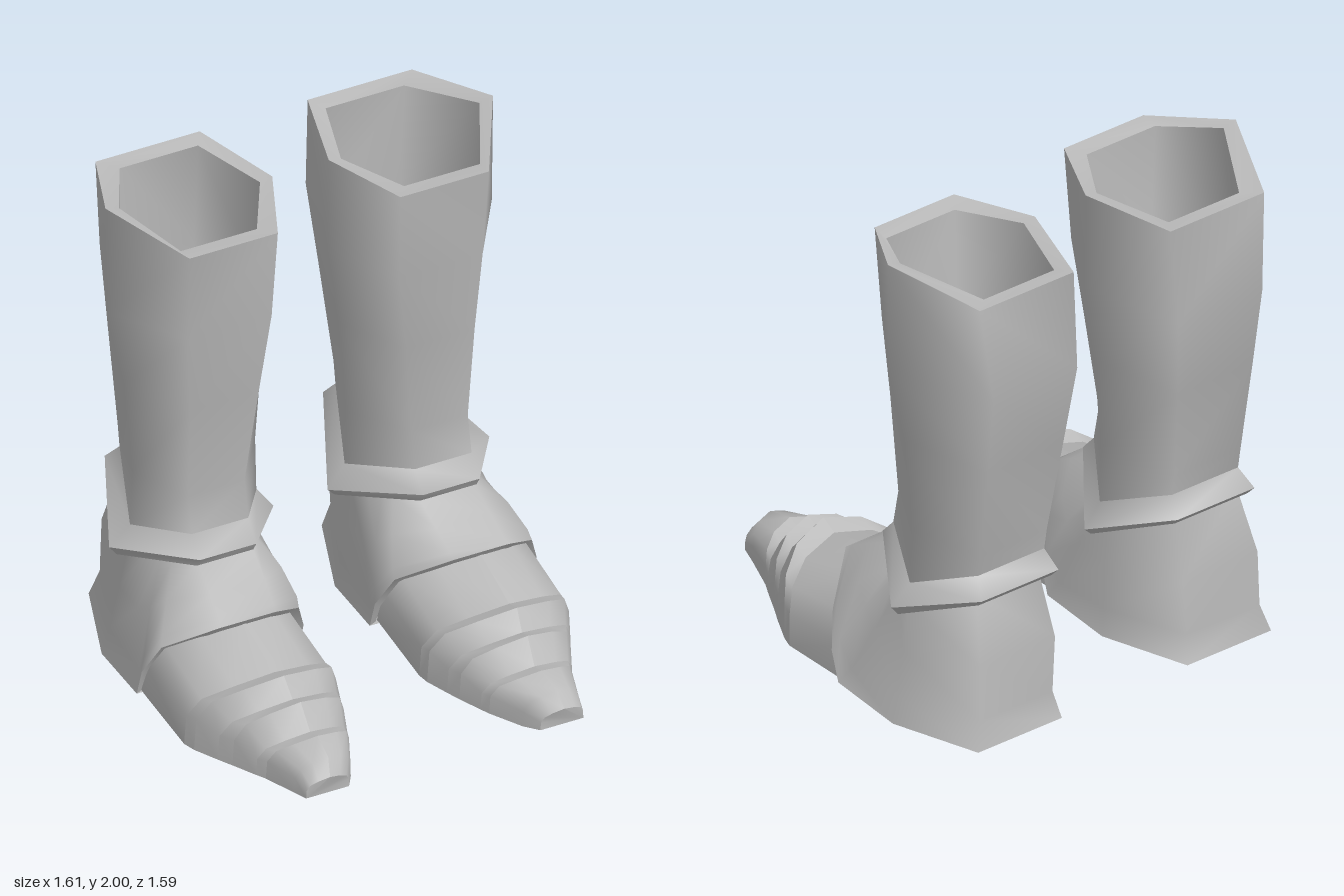
import * as THREE from 'three';
import { mergeGeometries } from 'three/addons/utils/BufferGeometryUtils.js';

const steel = new THREE.MeshStandardMaterial({ color: 0xbcbcbc, side: THREE.DoubleSide });
steel.name = 'grey steel';

// Skin a list of equally long rings; smooth inside one loft, sharp between lofts
function loft(rings, closed) {
  const n = rings[0].length, index = [];
  for (let r = 0; r < rings.length - 1; r++) {
    for (let i = 0; i < (closed ? n : n - 1); i++) {
      const a = r * n + i, b = r * n + (i + 1) % n;
      index.push(a, b, a + n, b, b + n, a + n);
    }
  }
  const geo = new THREE.BufferGeometry();
  geo.setAttribute('position', new THREE.Float32BufferAttribute(rings.flat(2), 3));
  geo.setIndex(index);
  geo.computeVertexNormals();
  return geo;
}

// Flat fan over a convex outline
function fan(points) {
  const geo = new THREE.BufferGeometry(), index = [];
  geo.setAttribute('position', new THREE.Float32BufferAttribute(points.flat(), 3));
  for (let i = 1; i < points.length - 1; i++) index.push(0, i, i + 1);
  geo.setIndex(index);
  geo.computeVertexNormals();
  return geo;
}

// Six-sided leg section: front height, front/back z, inner/outer x, corner x pairs, height offsets
function hex(y, f, b, xi, xo, [fi, fo], [bi, bo], dyOut = 0, dyIn = 0, dyBack = 0) {
  return [[bi, y + dyBack, b], [bo, y + dyBack, b], [xo, y + dyOut, -0.39],
    [fo, y, f], [fi, y, f], [xi, y + dyIn, -0.38]];
}

// Full row of points from one half, mirrored about x = cx
function bothSides(cx, half) {
  return [...half.map(([x, y, z]) => [cx + x, y, z]),
    ...half.map(([x, y, z]) => [cx - x, y, z]).reverse()];
}

function createBoot() {
  const boot = new THREE.Group();
  const add = (name, ...geos) => {
    const mesh = new THREE.Mesh(geos.length > 1 ? mergeGeometries(geos) : geos[0], steel);
    mesh.name = name;
    boot.add(mesh);
  };

  // Shaft, rim and hollow inside
  const top = hex(1.92, -0.07, -0.755, 0.115, 0.79, [0.25, 0.61], [0.22, 0.645], 0.08, 0.015, 0.015);
  const cuffTop = hex(0.65, -0.13, -0.67, 0.18, 0.69, [0.34, 0.57], [0.29, 0.59], -0.08, -0.08, 0.06);
  add('shaft', loft([top,
    hex(1.54, -0.1, -0.79, 0.11, 0.785, [0.26, 0.6], [0.23, 0.61]),
    hex(1.2, -0.125, -0.745, 0.155, 0.715, [0.3, 0.58], [0.26, 0.6]),
    hex(0.8, -0.16, -0.685, 0.185, 0.68, [0.34, 0.57], [0.29, 0.59]),
    cuffTop], true));
  const rimInner = hex(1.91, -0.14, -0.69, 0.165, 0.735, [0.3, 0.61], [0.26, 0.58], 0.075, 0.015, 0.015);
  add('rim', loft([top, rimInner], true));
  add('shaftInside', loft([rimInner,
    hex(1.5, -0.16, -0.7, 0.17, 0.72, [0.3, 0.58], [0.27, 0.57]),
    hex(0.9, -0.21, -0.64, 0.23, 0.64, [0.36, 0.55], [0.32, 0.56]),
    Array(6).fill([0.45, 0.65, -0.4])], true));

  // Flared ankle cuff
  const flare = hex(0.575, -0.065, -0.73, 0.11, 0.775, [0.34, 0.57], [0.27, 0.62], -0.08, -0.1, 0.065);
  const lower = hex(0.535, -0.09, -0.7, 0.14, 0.745, [0.34, 0.57], [0.28, 0.61], -0.08, -0.09, 0.07);
  const under = hex(0.55, -0.14, -0.65, 0.21, 0.68, [0.35, 0.56], [0.31, 0.58], -0.06, -0.06, 0.07);
  add('ankleCuff', loft([cuffTop, flare], true), loft([flare, lower], true), loft([lower, under], true));

  // Heel and instep: half rows run from the back round to the front
  const heelRows = [
    bothSides(0.45, [[0.14, 0.62, -0.66], [0.245, 0.48, -0.39], [0.22, 0.49, -0.3],
      [0.19, 0.5, -0.24], [0.17, 0.51, -0.19], [0.11, 0.54, -0.1]]),
    bothSides(0.46, [[0.17, 0.36, -0.735], [0.27, 0.3, -0.4], [0.275, 0.31, -0.24],
      [0.265, 0.36, -0.16], [0.235, 0.42, -0.09], [0.11, 0.475, 0.02]]),
    bothSides(0.47, [[0.165, 0.13, -0.74], [0.295, 0.12, -0.41], [0.305, 0.1, -0.15],
      [0.315, 0.2, -0.09], [0.275, 0.32, -0.025], [0.11, 0.42, 0.11]]),
    bothSides(0.475, [[0.19, 0.02, -0.77], [0.315, 0.01, -0.42], [0.33, 0.03, -0.11],
      [0.33, 0.15, -0.07], [0.28, 0.28, -0.01], [0.112, 0.405, 0.135]]),
  ];
  add('heelAndInstep', loft(heelRows, true));
  const edge = heelRows[3];
  const lip = edge.slice(2, 10);
  add('instepLip', loft([lip, lip.map(([x, y, z]) =>
    [0.475 + (x - 0.475) * 0.9, Math.max(y - 0.03, 0.02), z - 0.02])], false));
  add('heelSole', fan([edge[0], edge[1], edge[2], edge[9], edge[10], edge[11]]));

  // Toe plates: ridge z and y, side z, inner and outer x, underside y
  const stations = [
    [0.1, 0.385, -0.13, 0.185, 0.78, 0.03],
    [0.35, 0.308, 0.22, 0.178, 0.78, 0.005],
    [0.42, 0.335, 0.27, 0.185, 0.765, 0.005],
    [0.475, 0.262, 0.37, 0.215, 0.72, 0.01],
    [0.53, 0.283, 0.43, 0.235, 0.69, 0.012],
    [0.595, 0.19, 0.53, 0.27, 0.645, 0.018],
    [0.65, 0.205, 0.57, 0.285, 0.625, 0.02],
    [0.755, 0.18, 0.71, 0.35, 0.58, 0.03],
    [0.795, 0.12, 0.775, 0.39, 0.565, 0.04],
  ];
  // Half section: share of width, share of height, share of backward sweep
  const section = [[1, 0, 1], [0.98, 0.42, 0.95], [0.84, 0.7, 0.65], [0.5, 0.89, 0.22], [0, 1, 0]];
  const toeRows = stations.map(([zc, yt, zs, xi, xo, yb]) => {
    const half = section.map(([u, v, s]) =>
      [u * (xo - xi) / 2, yb + v * (yt - yb), zc + s * (zs - zc)]);
    return bothSides((xi + xo) / 2, half);
  });
  for (let i = 0; i < 6; i++) {
    add(i % 2 ? 'plateRise' : 'toePlate', loft(toeRows.slice(i, i + 2), false));
  }
  add('toeCap', loft(toeRows.slice(6), false), fan(toeRows[8]));
  add('toeSole', loft(toeRows.map(row => [row[0], row[9]]), false));
  return boot;
}

export function createModel() {
  const model = new THREE.Group();
  model.name = 'pairOfBoots';
  const left = createBoot(), right = createBoot();
  left.name = 'leftBoot';
  right.name = 'rightBoot';
  right.scale.x = -1;
  model.add(left, right);
  return model;
}
